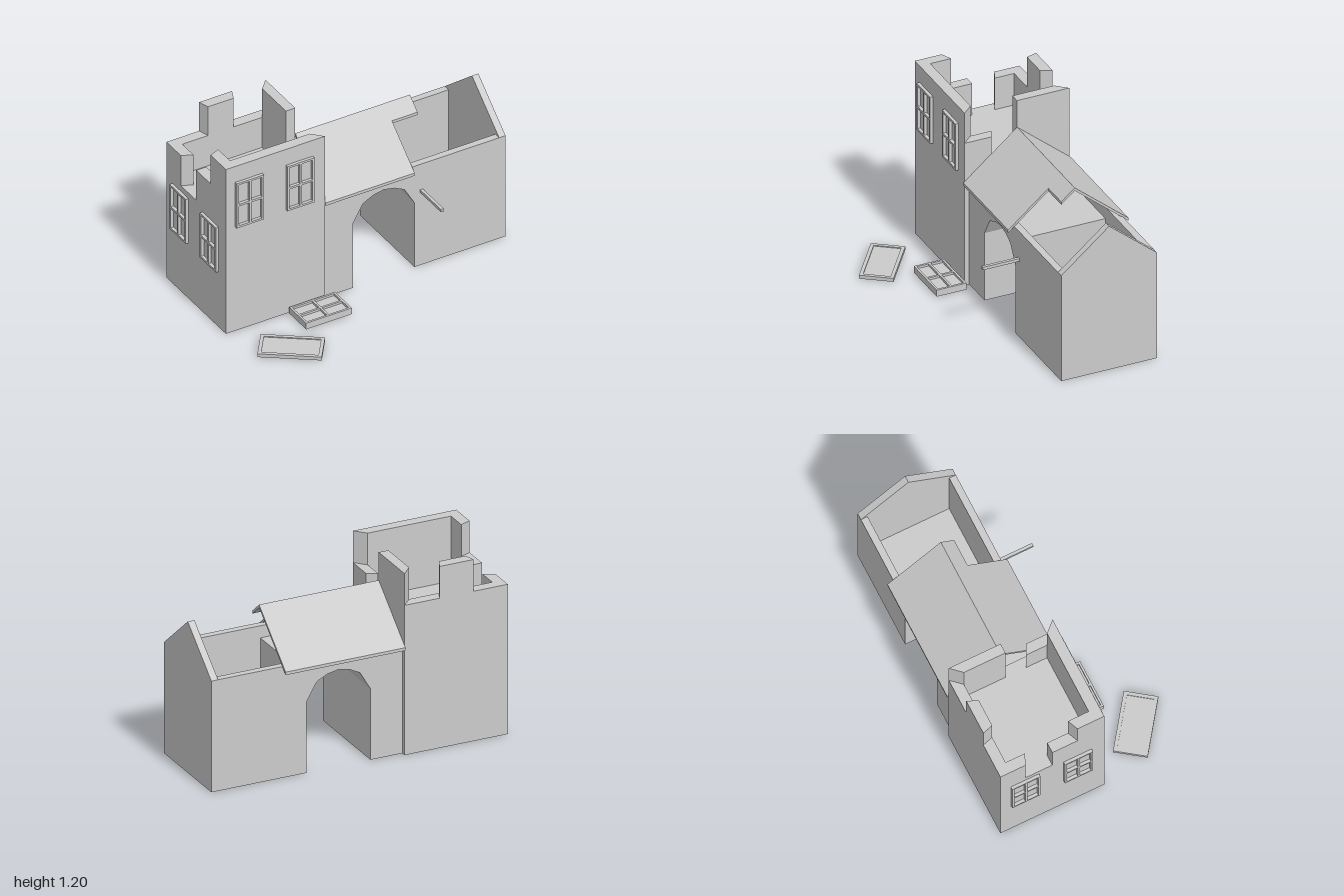
import * as THREE from 'three';

const mat = new THREE.MeshStandardMaterial({ color: 0xcccccc, flatShading: true, side: THREE.DoubleSide });

function add(parent, name, geometry, x = 0, y = 0, z = 0) {
  const mesh = new THREE.Mesh(geometry, mat);
  mesh.name = name;
  mesh.position.set(x, y, z);
  parent.add(mesh);
  return mesh;
}

const shapeOf = pts => new THREE.Shape(pts.map(p => new THREE.Vector2(p[0], p[1])));
const extrude = (shape, depth) => new THREE.ExtrudeGeometry(shape, { depth, bevelEnabled: false });

// Box given by its limits; an open one has no bottom face
function box(parent, name, [x0, x1], [y0, y1], [z0, z1], open = false) {
  const g = new THREE.BoxGeometry(x1 - x0, y1 - y0, z1 - z0);
  if (open) {
    const index = Array.from(g.index.array);
    index.splice(18, 6);
    g.setIndex(index);
    g.clearGroups();
  }
  return add(parent, name, g, (x0 + x1) / 2, (y0 + y1) / 2, (z0 + z1) / 2);
}

// Upright prism over a footprint of [x, z] points
function prism(parent, name, footprint, y0, y1) {
  const g = extrude(shapeOf(footprint.map(([x, z]) => [x, -z])), y1 - y0);
  return add(parent, name, g.rotateX(-Math.PI / 2), 0, y0, 0);
}

// Profile of [z, y] points swept along x
function sweepX(parent, name, profile, x0, x1) {
  const g = extrude(shapeOf(profile.map(([z, y]) => [-z, y])), x1 - x0);
  return add(parent, name, g.rotateY(Math.PI / 2), x0, 0, 0);
}

// Frame in the xy plane, with a grid of openings
function frameGeometry(w, h, depth, cols, rows, border, bar) {
  const shape = shapeOf([[-w / 2, -h / 2], [w / 2, -h / 2], [w / 2, h / 2], [-w / 2, h / 2]]);
  const pw = (w - 2 * border - (cols - 1) * bar) / cols;
  const ph = (h - 2 * border - (rows - 1) * bar) / rows;
  for (let i = 0; i < cols; i++) for (let j = 0; j < rows; j++) {
    const x = -w / 2 + border + i * (pw + bar), y = -h / 2 + border + j * (ph + bar);
    shape.holes.push(shapeOf([[x, y], [x, y + ph], [x + pw, y + ph], [x + pw, y]]));
  }
  return extrude(shape, depth);
}

function createTower() {
  const tower = new THREE.Group();
  tower.name = 'tower';
  const L = -0.98, R = -0.285, B = -0.62, F = 0.08;       // outer faces
  const l = -0.91, r = -0.35, b = -0.55, f = 0.01;        // inner faces
  const floor = 0.77, low = 0.99, high = 1.2;
  box(tower, 'towerBody', [L, R], [0, floor], [B, F], true);

  // Broken parapet, walked round from the front
  const pieces = [
    ['frontParapet', high, [[L, F], [R, F], [r, f], [l, f], [l, -0.13], [L, -0.1]]],
    ['leftSideLowParapet', low, [[R, F], [R, -0.1], [r, -0.13], [r, f]]],
    ['leftSideHighParapet', high, [[R, -0.27], [R, B], [r, b], [r, -0.27]]],
    ['backLowParapet', low, [[R, B], [-0.52, B], [-0.55, b], [r, b]]],
    ['backMerlon', high, [[-0.52, B], [-0.75, B], [-0.73, b], [-0.55, b]]],
    ['backCornerParapet', low, [[-0.75, B], [L, B], [L, -0.45], [l, -0.42], [l, b], [-0.73, b]]],
    ['rightSideLowParapet', low, [[L, -0.1], [l, -0.13], [l, -0.27], [L, -0.27]]]
  ];
  for (const [name, top, footprint] of pieces) prism(tower, name, footprint, floor, top);

  // Four-pane windows on the front and the right side
  const win = frameGeometry(0.19, 0.325, 0.02, 2, 2, 0.014, 0.014);
  for (const x of [-0.82, -0.465]) add(tower, 'frontWindow', win, x, 0.922, F);
  for (const z of [-0.455, -0.1]) add(tower, 'sideWindow', win, L, 0.567, z).rotation.y = -Math.PI / 2;
  return tower;
}

function createGatehouse() {
  const house = new THREE.Group();
  house.name = 'gatehouse';
  const F = 0.05, B = -0.59, t = 0.045, eave = 0.735;
  const arch = [[-0.07, 0.47], [0, 0.59], [0.07, 0.625], [0.145, 0.64], [0.22, 0.625], [0.29, 0.59], [0.36, 0.47]];

  // Hollow bases beside the passage; the top of the room base is its floor
  box(house, 'passageSideBase', [-0.285, -0.07], [0, 0.47], [B, F], true);
  box(house, 'roomBase', [0.36, 1], [0, 0.2], [B, F], true);

  // Long walls with the arch
  const wall = extrude(shapeOf([[-0.285, 0.47], ...arch, [0.36, 0.2], [1, 0.2], [1, eave], [-0.285, eave]]), t);
  add(house, 'frontWall', wall, 0, 0, F - t);
  add(house, 'backWall', wall, 0, 0, B);

  // Vault over the passage and the wall between it and the room
  const vault = extrude(shapeOf([[-0.285, 0.47], ...arch, [0.375, 0.47], [0.375, 0.655], [-0.285, 0.655]]), F - B - 2 * t);
  add(house, 'vault', vault, 0, 0, B + t);
  box(house, 'passageWall', [0.36, 0.375], [0.2, 0.47], [B + t, F - t]);

  // Gable end
  sweepX(house, 'gableWall', [[F, 0.2], [F, eave], [-0.27, 1.0], [B, eave], [B, 0.2]], 1 - t, 1);

  // Roof slabs, the front one broken away at its lower corner
  const slab = (z0, z1) => {
    const y = z => 1.015 - Math.abs(z + 0.27) * 0.835;
    return [[z0, y(z0)], [z1, y(z1)], [z1, y(z1) - 0.02], [z0, y(z0) - 0.02]];
  };
  sweepX(house, 'backRoof', slab(-0.27, -0.63), -0.285, 0.52);
  sweepX(house, 'frontRoof', slab(-0.27, 0.088), -0.285, 0.34);
  sweepX(house, 'frontRoofRemnant', slab(-0.27, -0.18), 0.34, 0.52);

  // Sign pole
  box(house, 'signPole', [0.4, 0.42], [0.53, 0.55], [F, 0.295]);
  return house;
}

// Fallen window and panel lying in front of the tower
function createDebris() {
  const debris = new THREE.Group();
  debris.name = 'debris';
  const fallenWindow = new THREE.Group();
  fallenWindow.name = 'fallenWindow';
  add(fallenWindow, 'fallenFrame', frameGeometry(0.32, 0.2, 0.045, 2, 2, 0.014, 0.014).rotateX(-Math.PI / 2));
  box(fallenWindow, 'fallenPane', [-0.155, 0.155], [0.02, 0.03], [-0.095, 0.095]);
  fallenWindow.position.set(-0.385, 0.006, 0.195);

  const panel = new THREE.Group();
  panel.name = 'fallenPanel';
  add(panel, 'panelFrame', frameGeometry(0.39, 0.212, 0.024, 1, 1, 0.022, 0).rotateX(-Math.PI / 2));
  box(panel, 'panelBoard', [-0.18, 0.18], [0.008, 0.018], [-0.09, 0.09]);
  panel.position.set(-0.725, 0.001, 0.42);
  panel.rotation.y = -0.631;
  debris.add(fallenWindow, panel);
  return debris;
}

export function createModel() {
  const model = new THREE.Group();
  model.name = 'ruinedGatehouse';
  model.add(createTower(), createGatehouse(), createDebris());
  return model;
}
